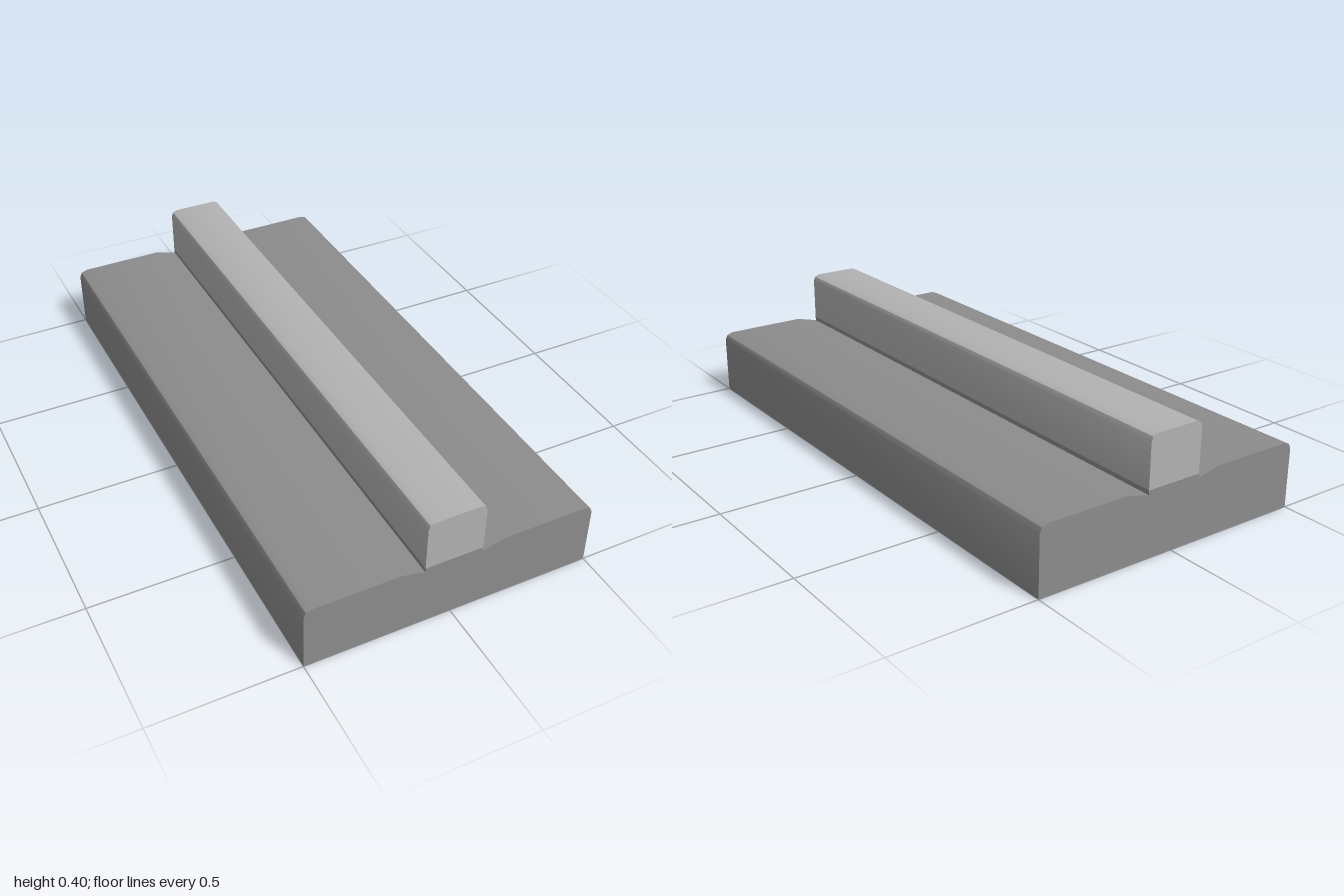
import * as THREE from 'three';
import { mergeGeometries, toCreasedNormals } from 'three/addons/utils/BufferGeometryUtils.js';

const LENGTH = 2;

// Mirrors a half profile given from the outer foot (+x) in to the middle
function mirrored(half) {
  return [...half, ...half.map(([x, y]) => [-x, y]).reverse()];
}

// Sweeps an open profile along z and closes both ends; the underside stays open
function shell(half) {
  const profile = mirrored(half);
  const n = profile.length;
  const sheet = new THREE.PlaneGeometry(1, 1, n - 1, 1);
  const pos = sheet.attributes.position;
  for (let i = 0; i < pos.count; i++) {
    const [x, y] = profile[i % n];
    pos.setXYZ(i, x, y, i < n ? LENGTH / 2 : -LENGTH / 2);
  }
  const shape = new THREE.Shape(profile.map(([x, y]) => new THREE.Vector2(x, y)));
  const front = new THREE.ShapeGeometry(shape).translate(0, 0, LENGTH / 2);
  const back = front.clone().rotateY(Math.PI);
  return mergeGeometries([
    toCreasedNormals(sheet, 0.75), front.toNonIndexed(), back.toNonIndexed(),
  ]);
}

export function createModel() {
  const group = new THREE.Group();
  group.name = 'railBlock';
  const baseGrey = new THREE.MeshStandardMaterial({ name: 'base grey', color: 0x8c8c8c, side: THREE.DoubleSide });
  const railGrey = new THREE.MeshStandardMaterial({ name: 'rail grey', color: 0xb2b2b2, side: THREE.DoubleSide });

  const add = (name, half, material) => {
    const mesh = new THREE.Mesh(shell(half), material);
    mesh.name = name;
    group.add(mesh);
  };

  // Hollow slab with rounded shoulders and a shallow dip towards the rail
  add('base', [[0.5, 0], [0.5, 0.205], [0.492, 0.222], [0.47, 0.23], [0.18, 0.23], [0.1, 0.21]], baseGrey);
  // Low foot under the rail
  add('railFoot', [[0.1, 0.21], [0.1, 0.225]], baseGrey);
  // Raised rail with rounded top edges
  add('rail', [[0.1, 0.225], [0.1, 0.378], [0.094, 0.393], [0.078, 0.4]], railGrey);

  return group;
}
